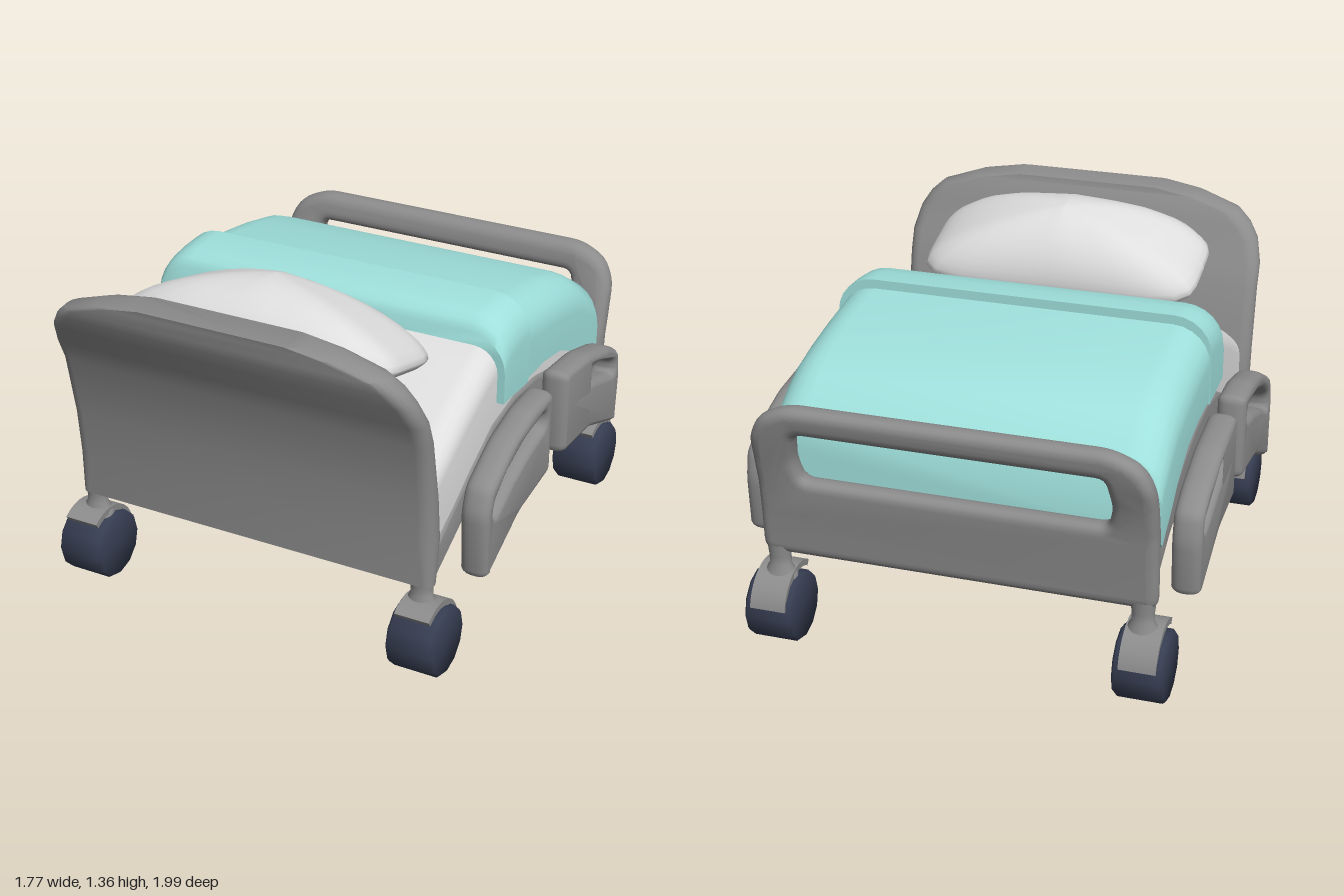
import * as THREE from 'three';
import { toCreasedNormals } from 'three/addons/utils/BufferGeometryUtils.js';

const mat = (name, color) => Object.assign(new THREE.MeshStandardMaterial({ color }), { name });

// Skin of rings that run counter-clockwise seen from the last ring, closed with caps
function loft(rings, crease = 0.75) {
  const n = rings[0].length, pos = rings.flat(2), idx = [];
  for (let i = 0; i < rings.length - 1; i++) {
    for (let j = 0; j < n; j++) {
      const a = i * n + j, b = i * n + (j + 1) % n;
      idx.push(a, b, b + n, a, b + n, a + n);
    }
  }
  const last = (rings.length - 1) * n;
  for (let j = 1; j < n - 1; j++) idx.push(0, j + 1, j, last, last + j, last + j + 1);
  const g = new THREE.BufferGeometry();
  g.setAttribute('position', new THREE.Float32BufferAttribute(pos, 3));
  g.setIndex(idx);
  return toCreasedNormals(g, crease);
}

// Soft slab running along z; rows are [z, bottom, top]
function slab(rows, halfWidth, r) {
  return loft(rows.map(([z, bottom, top]) => {
    const ring = [[-halfWidth, bottom, z], [halfWidth, bottom, z]];
    for (const [side, start] of [[1, 0], [-1, Math.PI / 2]]) {
      for (let k = 0; k <= 6; k++) {
        const a = start + k / 6 * Math.PI / 2;
        ring.push([side * (halfWidth - r) + r * Math.cos(a), top - r + r * Math.sin(a), z]);
      }
    }
    return ring;
  }));
}

// Closed path through points with softened corners
function softPath(path, pts, r) {
  const v = pts.map(p => new THREE.Vector2(...p)), n = v.length;
  const toward = (a, b) => a.clone().lerp(b, Math.min(0.45, r / a.distanceTo(b)));
  v.forEach((p, i) => {
    const a = toward(p, v[(i + n - 1) % n]), b = toward(p, v[(i + 1) % n]);
    if (i) path.lineTo(a.x, a.y); else path.moveTo(a.x, a.y);
    path.quadraticCurveTo(p.x, p.y, b.x, b.y);
  });
  path.closePath();
  return path;
}

// Rounded plate with an opening, centred in depth
function plate(outline, opening, depth, bevel, r) {
  const shape = softPath(new THREE.Shape(), outline, r);
  shape.holes.push(softPath(new THREE.Path(), opening, 0.035));
  const bt = depth * 0.4;
  const g = new THREE.ExtrudeGeometry(shape, {
    depth: depth - 2 * bt, curveSegments: 4, bevelThickness: bt,
    bevelSize: bevel, bevelOffset: -bevel, bevelSegments: 4,
  });
  return g.translate(0, 0, bt - depth / 2);
}

// Linear lookup in rows of [key, value]
function lookup(rows, y) {
  for (let i = 1; i < rows.length; i++) {
    if (y <= rows[i][0] || i === rows.length - 1) {
      const [a, b] = [rows[i - 1], rows[i]];
      return THREE.MathUtils.mapLinear(y, a[0], b[0], a[1], b[1]);
    }
  }
}

export function createModel() {
  const grey = mat('frame grey', 0x8c8c8c);
  const white = mat('linen white', 0xdedede);
  const teal = mat('blanket teal', 0x9fe0dc);
  const navy = mat('wheel navy', 0x363d51);
  const bed = new THREE.Group();
  bed.name = 'hospitalBed';
  const add = (name, geometry, material, x = 0, y = 0, z = 0) => {
    const m = new THREE.Mesh(geometry, material);
    m.name = name;
    m.position.set(x, y, z);
    bed.add(m);
    return m;
  };

  // Headboard: rows of [y, half width, inner z, outer z]
  const headRows = [
    [0.37, 0.755, 0.70, 0.77], [0.55, 0.76, 0.665, 0.782], [0.73, 0.76, 0.69, 0.795],
    [0.98, 0.76, 0.745, 0.84], [1.07, 0.76, 0.78, 0.88], [1.16, 0.738, 0.82, 0.93],
    [1.22, 0.70, 0.835, 0.96], [1.265, 0.65, 0.85, 0.98], [1.315, 0.50, 0.862, 0.995],
    [1.338, 0.36, 0.867, 1.0],
  ];
  add('headboard', loft(headRows.map(([y, w, inner, outer]) => {
    const ring = [], r = (outer - inner) / 2, c = (outer + inner) / 2;
    for (const side of [1, -1]) {
      for (let k = 0; k <= 8; k++) {
        const a = k / 8 * Math.PI + (side > 0 ? 0 : Math.PI);
        ring.push([side * (w - r) + r * Math.sin(a), y, c + r * Math.cos(a)]);
      }
    }
    return ring;
  })), grey);

  // Footboard with a grab opening, thinner at the bottom and leaning outward at the top
  const half = [[0.76, 0.38], [0.76, 0.54], [0.76, 0.68], [0.76, 0.8], [0.755, 0.9], [0.71, 0.99], [0.6, 1.04]];
  const mirrored = half.map(([x, y]) => [-x, y]).reverse();
  const foot = plate([...half, ...mirrored],
    [[-0.58, 0.71], [0.58, 0.71], [0.6, 0.8], [0.58, 0.925], [-0.58, 0.925], [-0.6, 0.8]], 0.095, 0.04, 0.05);
  const lean = [[0.38, -0.848], [0.55, -0.853], [0.68, -0.862], [0.8, -0.892], [0.9, -0.925], [1.04, -0.953]];
  const thickness = [[0.38, 0.65], [0.68, 1], [1.04, 1]];
  const fp = foot.attributes.position;
  for (let i = 0; i < fp.count; i++) {
    const y = fp.getY(i);
    fp.setZ(i, fp.getZ(i) * lookup(thickness, y) + lookup(lean, y));
  }
  add('footboard', toCreasedNormals(foot, 0.75), grey);

  // Arched base and mattress
  add('bedBase', slab([
    [-0.83, 0.43, 0.52], [-0.6, 0.55, 0.67], [-0.4, 0.61, 0.745], [-0.2, 0.645, 0.79], [0, 0.655, 0.8],
    [0.2, 0.615, 0.765], [0.4, 0.53, 0.66], [0.55, 0.45, 0.57], [0.72, 0.36, 0.47],
  ], 0.735, 0.02), grey);
  add('mattress', slab([
    [-0.76, 0.55, 0.85], [-0.5, 0.68, 1.0], [-0.2, 0.76, 1.06], [0.05, 0.78, 1.075], [0.155, 0.76, 1.06],
    [0.25, 0.73, 1.03], [0.46, 0.61, 0.93], [0.57, 0.56, 0.87], [0.665, 0.51, 0.815],
  ], 0.725, 0.1), white);

  // Blanket and its turned-down fold
  add('blanket', slab([
    [-0.805, 0.62, 0.90], [-0.78, 0.595, 0.945], [-0.64, 0.68, 1.03], [-0.56, 0.74, 1.065],
    [-0.4, 0.815, 1.10], [-0.235, 0.84, 1.125], [0, 0.84, 1.15],
  ], 0.75, 0.15), teal);
  add('blanketFold', slab([
    [-0.065, 0.83, 1.18], [0.03, 0.835, 1.175], [0.11, 0.84, 1.162], [0.145, 0.84, 1.145], [0.165, 0.84, 1.11],
  ], 0.755, 0.15), teal);

  // Pillow: a sphere squared off in plan, fuller on top and tapering to its ends
  const pillow = new THREE.SphereGeometry(1, 40, 20);
  const pp = pillow.attributes.position;
  for (let i = 0; i < pp.count; i++) {
    const x = pp.getX(i), y = pp.getY(i), z = pp.getZ(i);
    const norm = (Math.abs(x) ** 6 + Math.abs(z) ** 6) ** (1 / 6);
    const k = norm > 1e-6 ? Math.hypot(x, z) / norm : 1;
    const end = Math.abs(x * k);
    const height = Math.sign(y) * Math.abs(y) ** 1.2 * (y > 0 ? 0.235 : 0.17) * (1 - 0.22 * end);
    pp.setXYZ(i, x * k * 0.57, height, z * k * 0.265 * (z > 0 ? 1 - 0.3 * end ** 3 : 1));
  }
  pillow.computeVertexNormals();
  add('pillow', pillow, white, -0.01, 1.13, 0.57).rotation.x = -0.26;

  // Side rails, outlines in [z, y]
  const rails = {
    HeadRail: plate(
      [[-0.02, 0.5], [0.27, 0.46], [0.565, 0.32], [0.582, 0.6], [0.545, 0.7], [0.355, 0.8], [0.165, 0.845], [-0.02, 0.85]],
      [[0.05, 0.72], [0.195, 0.695], [0.355, 0.64], [0.51, 0.56], [0.505, 0.63], [0.41, 0.7], [0.245, 0.76], [0.05, 0.785]],
      0.112, 0.028, 0.035),
    FootRail: plate(
      [[-0.145, 0.85], [-0.4, 0.828], [-0.61, 0.77], [-0.725, 0.71], [-0.747, 0.6], [-0.732, 0.37], [-0.42, 0.485], [-0.145, 0.5]],
      [[-0.215, 0.765], [-0.42, 0.76], [-0.585, 0.72], [-0.68, 0.675], [-0.68, 0.615], [-0.45, 0.69], [-0.215, 0.715]],
      0.112, 0.028, 0.035),
  };
  for (const [name, g] of Object.entries(rails)) {
    const geometry = toCreasedNormals(g.rotateY(-Math.PI / 2), 0.75);
    add('left' + name, geometry, grey, 0.828);
    add('right' + name, geometry, grey, -0.828);
  }

  // Casters: wheel, fender set slightly forward, and flared neck
  const lathe = (pts, sides) => new THREE.LatheGeometry(pts.map(p => new THREE.Vector2(...p)), sides);
  const wheel = toCreasedNormals(lathe(
    [[0, -0.095], [0.128, -0.095], [0.137, -0.085], [0.137, 0.085], [0.128, 0.095], [0, 0.095]], 12)
    .rotateZ(Math.PI / 2), 0.95);
  const arc = new THREE.Shape();
  arc.absarc(0.02, 0.01, 0.158, 0.95, 2.95, false);
  arc.absarc(0.02, 0.01, 0.133, 2.95, 0.95, true);
  const fender = toCreasedNormals(new THREE.ExtrudeGeometry(arc, { depth: 0.14, bevelEnabled: false, curveSegments: 10 })
    .translate(0, 0, -0.07).rotateY(-Math.PI / 2), 0.6);
  const neck = lathe([[0.05, 0.265], [0.047, 0.29], [0.032, 0.325], [0.032, 0.36], [0.036, 0.41]], 16).scale(1.35, 1, 1);
  for (const [end, z, neckZ] of [['head', 0.73, 0.735], ['foot', -0.84, -0.85]]) {
    for (const x of [0.715, -0.715]) {
      add(end + 'Wheel', wheel, navy, x, 0.14, z);
      add(end + 'WheelFender', fender, grey, x, 0.14, z);
      add(end + 'CasterNeck', neck, grey, x * 0.985, 0, neckZ);
    }
  }
  return bed;
}
